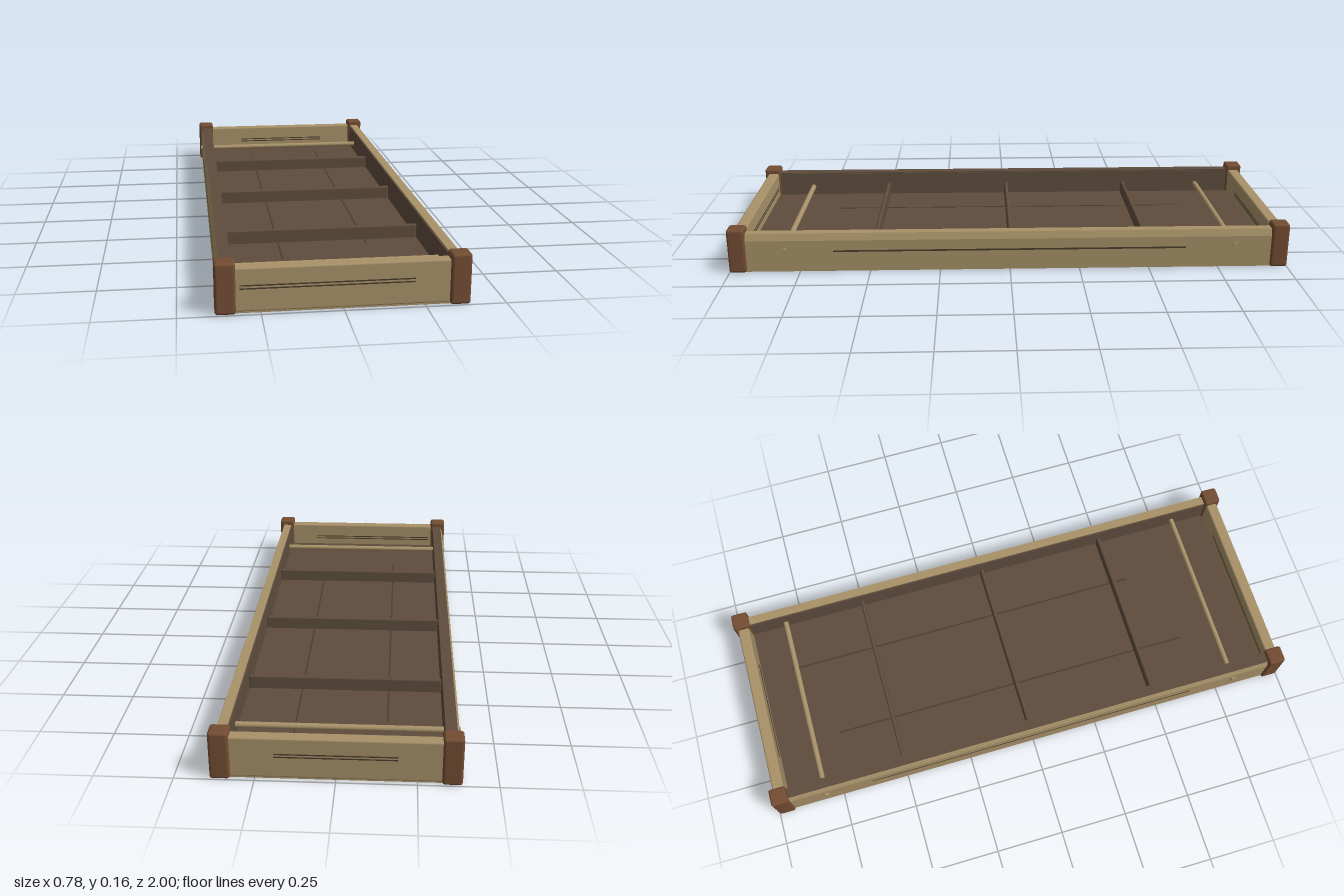
import * as THREE from 'three';
import { RoundedBoxGeometry } from 'three/addons/geometries/RoundedBoxGeometry.js';

const material = (name, color) => {
  const m = new THREE.MeshStandardMaterial({ color });
  m.name = name;
  return m;
};

export function createModel() {
  const tan = material('tan wood', 0xa89269);
  const brown = material('dark brown wood', 0x5f4d3d);
  const red = material('reddish post wood', 0x744d34);
  const dark = material('groove', 0x4a3d2d);

  const tray = new THREE.Group();
  tray.name = 'woodenTray';

  const add = (name, geometry, mat, x, y, z) => {
    const mesh = new THREE.Mesh(geometry, mat);
    mesh.name = name;
    mesh.position.set(x, y, z);
    tray.add(mesh);
    return mesh;
  };
  // Box given by its lower and upper corners
  const box = (name, mat, [x0, y0, z0], [x1, y1, z1]) =>
    add(name, new THREE.BoxGeometry(x1 - x0, y1 - y0, z1 - z0), mat,
      (x0 + x1) / 2, (y0 + y1) / 2, (z0 + z1) / 2);

  // Tan underside with a dark floor above it
  box('underside', tan, [-0.376, 0.003, -0.985], [0.376, 0.01, 0.985]);
  box('floor', brown, [-0.34, 0.009, -0.955], [0.34, 0.052, 0.955]);

  // Long side walls: bevelled outer top edge, dark inner lining and a groove
  const profile = new THREE.Shape([
    [0.338, 0.008], [0.379, 0.008], [0.379, 0.12], [0.37, 0.145], [0.338, 0.145],
  ].map(([x, y]) => new THREE.Vector2(x, y)));
  const wallGeometry = new THREE.ExtrudeGeometry(profile, { depth: 1.9, bevelEnabled: false });
  wallGeometry.translate(0, 0, -0.95);
  for (const s of [-1, 1]) {
    add('sideWall', wallGeometry, tan, 0, 0, 0).rotation.y = s < 0 ? Math.PI : 0;
    const lining = box('sideLining', brown, [0, 0.03, -0.95], [0.006, 0.142, 0.95]);
    lining.position.x = s * 0.336;
    const groove = box('sideGroove', dark, [0, 0.077, -0.63], [0.004, 0.083, 0.63]);
    groove.position.x = s * 0.378;
  }
  // Dark cap along the right wall
  box('rightWallCap', brown, [-0.37, 0.143, -0.95], [-0.333, 0.147, 0.95]);

  // End walls with softened edges
  for (const s of [-1, 1]) {
    add('endWall', new RoundedBoxGeometry(0.67, 0.138, 0.042, 1, 0.006), tan, 0, 0.076, s * 0.966);
  }
  // Paired grooves on the outer and inner faces of the end walls
  for (const y of [0.08, 0.09]) {
    for (const z of [0.987, 0.945]) {
      box('frontGroove', dark, [-0.313, y - 0.002, z - 0.001], [0.217, y + 0.002, z + 0.001]);
    }
    for (const z of [-0.987, -0.945]) {
      box('backGroove', dark, [-0.19, y - 0.002, z - 0.001], [0.19, y + 0.002, z + 0.001]);
    }
  }

  // Corner posts
  for (const x of [-1, 1]) {
    for (const z of [-1, 1]) {
      add('cornerPost', new RoundedBoxGeometry(0.063, 0.162, 0.062, 2, 0.009), red,
        x * 0.3565, 0.084, z * 0.969);
    }
  }

  // Low rounded dividers across the floor
  for (const z of [-0.497, -0.005, 0.488]) {
    add('divider', new RoundedBoxGeometry(0.67, 0.06, 0.015, 2, 0.007), brown, 0, 0.07, z);
  }

  // Round pegs running through the side walls
  for (const z of [-0.808, 0.803]) {
    add('peg', new THREE.CylinderGeometry(0.01, 0.01, 0.772, 12), tan, 0, 0.085, z)
      .rotation.z = Math.PI / 2;
  }

  // Plank seams on the floor and underneath
  for (const [x, z0, z1] of [[-0.153, -0.71, 0.67], [0.147, -0.83, 0.55]]) {
    box('floorSeam', dark, [x - 0.003, 0.051, z0], [x + 0.003, 0.053, z1]);
  }
  for (const [x, z0, z1] of [[-0.22, -0.72, 0.7], [0, -0.72, 0.52], [0.2, -0.83, 0.67]]) {
    box('undersideSeam', dark, [x - 0.003, 0.002, z0], [x + 0.003, 0.005, z1]);
  }

  return tray;
}
